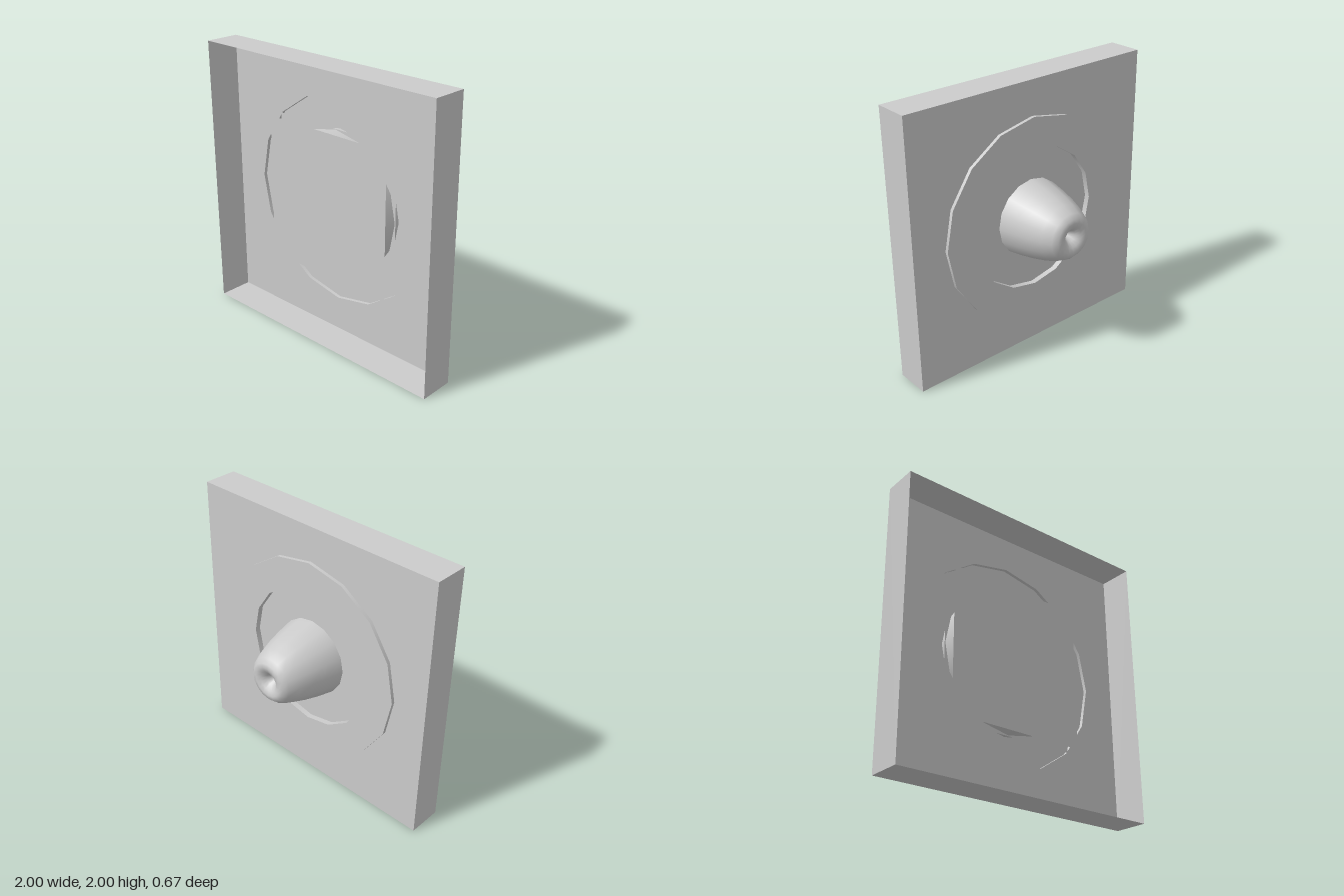
import * as THREE from 'three';

const SIDES = 16;
const BACK = 0.085, FRONT = 0.335;   // panel depth range
const RING = 0.06;                   // ring face, raised behind the panel
const PLATE_IN = 0.1, PLATE_OUT = 0.2;
const R_OUT = 0.75, R_IN = 0.525;

const material = new THREE.MeshStandardMaterial({ color: 0xcccccc, side: THREE.DoubleSide });

function add(parent, name, geometry) {
  const mesh = new THREE.Mesh(geometry, material);
  mesh.name = name;
  parent.add(mesh);
  return mesh;
}

// Corner points of a regular polygon with one corner on the x axis
function polygon(radius) {
  return Array.from({ length: SIDES }, (_, i) => {
    const a = (i / SIDES) * Math.PI * 2;
    return new THREE.Vector2(radius * Math.cos(a), radius * Math.sin(a));
  });
}

// Flat sheet facing the back, with a polygonal hole
function sheet(outline, holeRadius, z) {
  const shape = new THREE.Shape(outline);
  shape.holes.push(new THREE.Path(polygon(holeRadius)));
  return new THREE.ShapeGeometry(shape).rotateY(Math.PI).translate(0, 0, z);
}

// Open tube wall along z
function wall(radius, z0, z1) {
  return new THREE.CylinderGeometry(radius, radius, z1 - z0, SIDES, 1, true)
    .rotateX(Math.PI / 2).translate(0, 0, (z0 + z1) / 2);
}

export function createModel() {
  const model = new THREE.Group();
  const body = new THREE.Group();
  body.name = 'speakerPanel';
  body.position.y = 1;
  model.add(body);

  // Thin tray, open at the front
  const square = [[-1, -1], [1, -1], [1, 1], [-1, 1]].map(p => new THREE.Vector2(...p));
  add(body, 'panelBack', sheet(square, R_OUT, BACK));
  const depth = FRONT - BACK;
  for (let i = 0; i < 4; i++) {
    const side = new THREE.PlaneGeometry(2, depth)
      .rotateX(-Math.PI / 2).translate(0, 1, (BACK + FRONT) / 2).rotateZ(i * Math.PI / 2);
    add(body, 'panelSide', side);
  }

  // Raised ring around the central opening
  add(body, 'ringFace', sheet(polygon(R_OUT), R_IN, RING));
  add(body, 'ringOuterWall', wall(R_OUT, RING, BACK));
  add(body, 'ringInnerWall', wall(R_IN, RING, PLATE_IN));

  // Two square plates with a round core between them
  for (const z of [PLATE_IN, PLATE_OUT]) {
    add(body, 'squarePlate', new THREE.PlaneGeometry(2 * R_IN + 0.01, 2 * R_IN + 0.01).translate(0, 0, z));
  }
  add(body, 'plateCore', wall(R_IN, PLATE_IN, PLATE_OUT));

  // Rounded hub with a dimpled tip, pointing to the back
  const profile = [
    [0, -0.22], [0.02, -0.25], [0.045, -0.295], [0.075, -0.325], [0.11, -0.335],
    [0.14, -0.33], [0.17, -0.3], [0.205, -0.23], [0.235, -0.14], [0.26, -0.04],
    [0.28, 0.06], [0.287, PLATE_IN],
  ].map(p => new THREE.Vector2(...p));
  add(body, 'hub', new THREE.LatheGeometry(profile, SIDES).rotateX(Math.PI / 2));

  return model;
}
